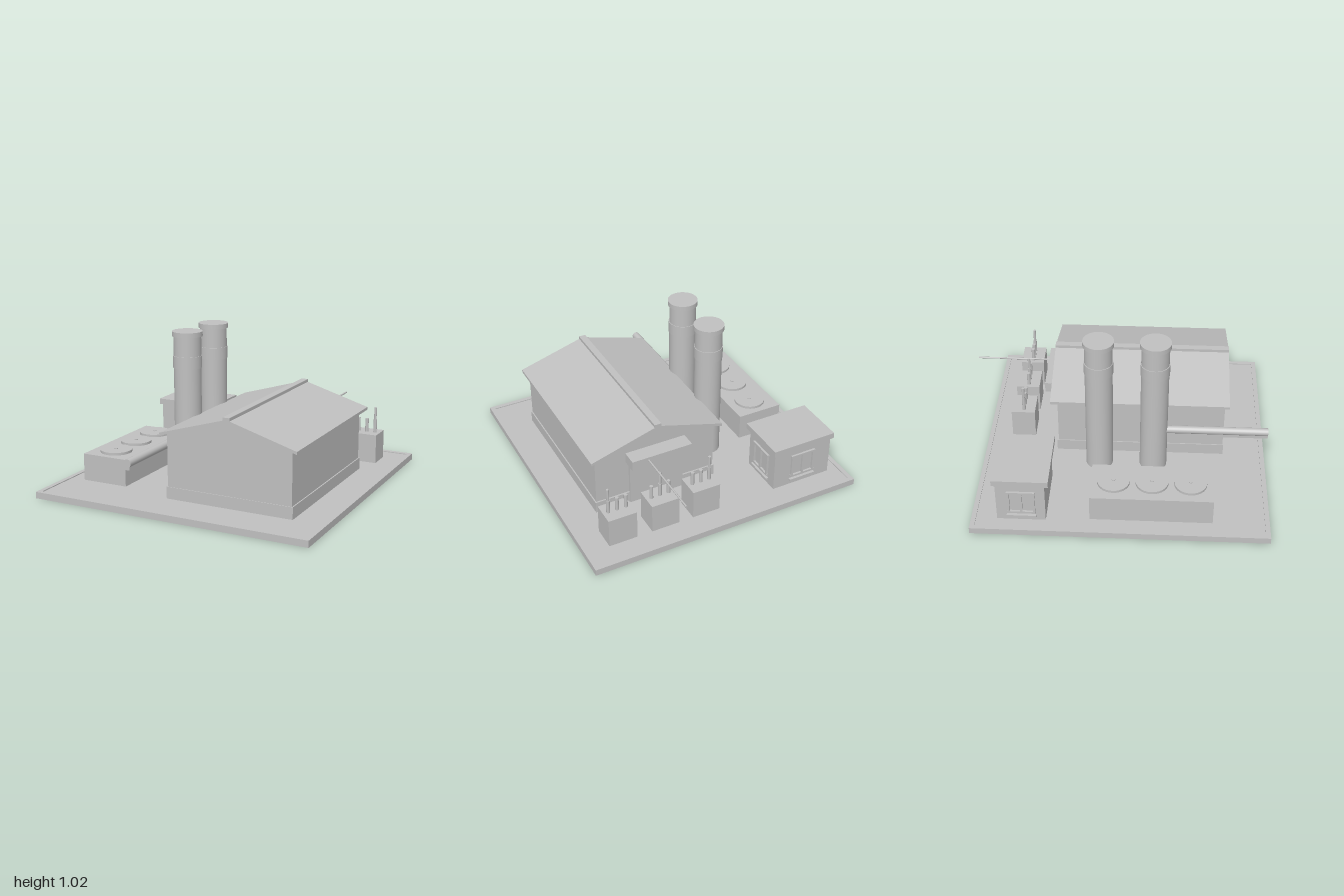
import * as THREE from 'three';

const grey = new THREE.MeshStandardMaterial({ color: 0xc0c0c0 });
grey.name = 'concrete grey';

export function createModel() {
  const root = new THREE.Group();
  root.name = 'powerPlant';

  const add = (name, geo, parent = root) => {
    const m = new THREE.Mesh(geo, grey);
    m.name = name;
    parent.add(m);
    return m;
  };
  // Box given by its min and max on each axis
  const box = (name, x0, x1, y0, y1, z0, z1, parent) =>
    add(name, new THREE.BoxGeometry(x1 - x0, y1 - y0, z1 - z0)
      .translate((x0 + x1) / 2, (y0 + y1) / 2, (z0 + z1) / 2), parent);
  // Upright cylinder
  const cyl = (name, x, z, r, y0, y1, seg, parent) =>
    add(name, new THREE.CylinderGeometry(r, r, y1 - y0, seg).translate(x, (y0 + y1) / 2, z), parent);
  // Outline in x and y, extruded along z
  const prism = (name, pts, z0, z1, parent) => {
    const shape = new THREE.Shape(pts.map(p => new THREE.Vector2(p[0], p[1])));
    return add(name, new THREE.ExtrudeGeometry(shape, { depth: z1 - z0, bevelEnabled: false })
      .translate(0, 0, z0), parent);
  };
  const group = (name) => {
    const g = new THREE.Group();
    g.name = name;
    root.add(g);
    return g;
  };

  // Site slab with a low curb
  const G = 0.037;
  box('slab', -0.94, 0.94, 0, G, -0.89, 1);
  box('curbBack', -0.94, 0.94, G, 0.043, -0.89, -0.86);
  box('curbFront', -0.94, 0.94, G, 0.043, 0.97, 1);
  box('curbRight', -0.94, -0.91, G, 0.043, -0.86, 0.97);
  box('curbLeft', 0.91, 0.94, G, 0.043, -0.86, 0.97);

  // Turbine hall
  const hall = group('turbineHall');
  box('plinth', -0.14, 0.72, G, 0.115, -0.405, 0.722, hall);
  prism('walls', [[-0.133, 0.1], [0.712, 0.1], [0.712, 0.46], [0.29, 0.585], [-0.133, 0.46]],
    -0.395, 0.717, hall);
  prism('roof', [[-0.172, 0.447], [0.29, 0.583], [0.752, 0.447], [0.752, 0.466],
    [0.29, 0.602], [-0.172, 0.466]], -0.44, 0.745, hall);
  box('ridgeCap', 0.268, 0.314, 0.59, 0.615, -0.44, 0.745, hall);
  box('rearDoor', 0.1, 0.48, G, 0.36, -0.415, -0.39, hall);
  box('rearCanopy', 0.08, 0.5, 0.36, 0.43, -0.5, -0.39, hall);

  // Chimneys with band, cap and flue duct to the hall
  for (const z of [-0.11, 0.25]) {
    const c = group('chimney');
    cyl('shaft', -0.245, z, 0.09, G, 0.99, 32, c);
    cyl('band', -0.245, z, 0.0945, 0.777, 0.857, 32, c);
    cyl('cap', -0.245, z, 0.1, 0.985, 1.017, 32, c);
    box('flueDuct', -0.2, -0.125, 0.14, 0.255, z - 0.06, z + 0.06, c);
  }

  // Main leading from the front chimney to the site edge
  const main = group('supplyMain');
  add('pipe', new THREE.CylinderGeometry(0.026, 0.026, 0.75, 20).rotateX(Math.PI / 2)
    .translate(-0.247, 0.328, 0.625), main);
  box('pipeRail', -0.262, -0.232, 0.285, 0.312, 0.3, 1, main);

  // Cooling unit with three fans
  const cooler = group('coolingUnit');
  box('housing', -0.815, -0.495, G, 0.217, -0.14, 0.64, cooler);
  for (const z of [0.005, 0.25, 0.495]) {
    cyl('fan', -0.655, z, 0.105, 0.21, 0.234, 28, cooler);
    cyl('fanHub', -0.655, z, 0.012, 0.23, 0.239, 10, cooler);
  }

  // Control building
  const control = group('controlBuilding');
  box('walls', -0.835, -0.41, G, 0.325, -0.725, -0.415, control);
  box('roof', -0.847, -0.393, 0.32, 0.36, -0.745, -0.39, control);
  // Window frame, built facing +z about its own origin
  const frame = (x, z, turn) => {
    const g = new THREE.Group();
    g.name = 'windowFrame';
    g.position.set(x, 0, z);
    g.rotation.y = turn;
    for (const px of [-0.08, 0, 0.08]) {
      box('post', px - 0.007, px + 0.007, 0.1, 0.27, -0.005, 0.014, g);
    }
    box('lintel', -0.09, 0.09, 0.255, 0.27, -0.005, 0.014, g);
    box('bottomRail', -0.09, 0.09, 0.1, 0.114, -0.005, 0.014, g);
    box('sill', -0.095, 0.095, 0.07, 0.085, -0.005, 0.019, g);
    control.add(g);
  };
  frame(-0.835, -0.565, -Math.PI / 2);
  frame(-0.41, -0.565, Math.PI / 2);
  frame(-0.622, -0.725, Math.PI);

  // Transformers, each with one tall insulator
  [[0.095, 0], [0.385, 1], [0.68, 2]].forEach(([x, tall]) => {
    const t = group('transformer');
    box('tank', x - 0.096, x + 0.096, G, 0.236, -0.73, -0.57, t);
    for (let i = 0; i < 3; i++) {
      const px = x + (i - 1) * 0.06;
      cyl('insulator', px, -0.647, 0.012, 0.23, 0.33, 12, t);
      if (i === tall) cyl('terminal', px, -0.647, 0.009, 0.32, 0.414, 12, t);
    }
  });

  // Outgoing power line
  add('powerLine', new THREE.CylinderGeometry(0.006, 0.006, 0.52, 10).rotateX(Math.PI / 2)
    .translate(0.387, 0.41, -0.74));

  return root;
}
